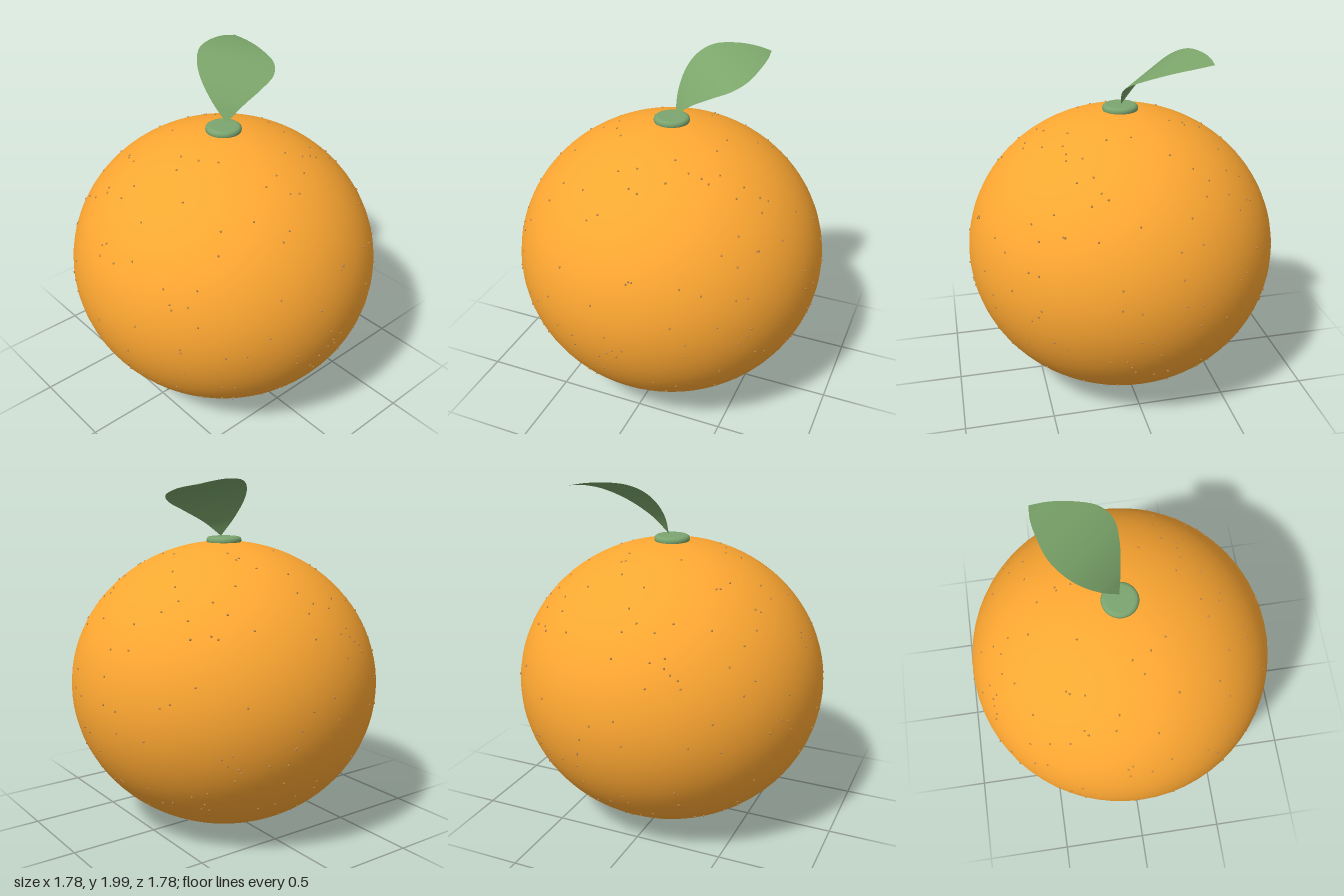
import * as THREE from 'three';
import { mergeGeometries } from 'three/addons/utils/BufferGeometryUtils.js';

const RX = 0.885, RY = 0.82, CY = 0.83;

function part(name, geometry, color, side = THREE.FrontSide) {
  const material = new THREE.MeshStandardMaterial({ color, side });
  const mesh = new THREE.Mesh(geometry, material);
  mesh.name = name;
  return mesh;
}

// Small seeded generator for scattering the pores
function seeded(seed) {
  return () => {
    seed = (seed * 1664525 + 1013904223) % 4294967296;
    return seed / 4294967296;
  };
}

// Tiny beads scattered evenly over the peel
function poreGeometry(count) {
  const random = seeded(7);
  const beads = [];
  for (let i = 0; i < count; i++) {
    const a = random() * Math.PI * 2;
    const h = random() * 1.94 - 0.99;
    const r = Math.sqrt(1 - h * h);
    const bead = new THREE.SphereGeometry(0.006, 8, 6);
    bead.translate(RX * r * Math.cos(a), CY + RY * h, RX * r * Math.sin(a));
    beads.push(bead);
  }
  return mergeGeometries(beads);
}

// Curved leaf lofted between its two edges
function leafGeometry() {
  // [distance along the leaf, height, back edge, front edge]
  const stations = [
    [0.014, 1.68, 0.014, 0.014],
    [0.07, 1.775, -0.075, 0.1],
    [0.15, 1.86, -0.14, 0.2],
    [0.23, 1.915, -0.162, 0.262],
    [0.32, 1.953, -0.153, 0.262],
    [0.43, 1.975, -0.098, 0.19],
    [0.52, 1.98, -0.035, 0.106],
    [0.58, 1.977, 0.028, 0.028],
  ];
  const edge = (k) => new THREE.CatmullRomCurve3(stations.map(([u, y, ...w]) => {
    const middle = (w[0] + w[1]) / 2;
    return new THREE.Vector3(
      (u + w[k]) * Math.SQRT1_2,
      y - 0.2 * (w[k] - middle),
      (w[k] - u) * Math.SQRT1_2);
  }));
  const back = edge(0), front = edge(1);
  const geometry = new THREE.PlaneGeometry(1, 1, 10, 32);
  const pos = geometry.attributes.position;
  for (let i = 0; i < pos.count; i++) {
    const t = pos.getY(i) + 0.5;
    const p = back.getPoint(t).lerp(front.getPoint(t), pos.getX(i) + 0.5);
    pos.setXYZ(i, p.x, p.y, p.z);
  }
  geometry.computeVertexNormals();
  return geometry;
}

export function createModel() {
  const model = new THREE.Group();
  model.name = 'orangeFruit';

  // Slightly flattened fruit body
  const body = new THREE.SphereGeometry(1, 64, 48);
  body.scale(RX, RY, RX);
  body.translate(0, CY, 0);
  model.add(part('fruitBody', body, 0xffa832));

  model.add(part('pores', poreGeometry(260), 0xc08a50));

  // Round-edged stem button
  const profile = [[0, 1.62], [0.09, 1.62], [0.098, 1.645], [0.1, 1.655],
    [0.097, 1.667], [0.088, 1.674], [0.075, 1.676], [0, 1.676]]
    .map(([r, y]) => new THREE.Vector2(r, y));
  model.add(part('stemButton', new THREE.LatheGeometry(profile, 40), 0x7ba56f));

  model.add(part('leaf', leafGeometry(), 0x7ba56a, THREE.DoubleSide));

  return model;
}
